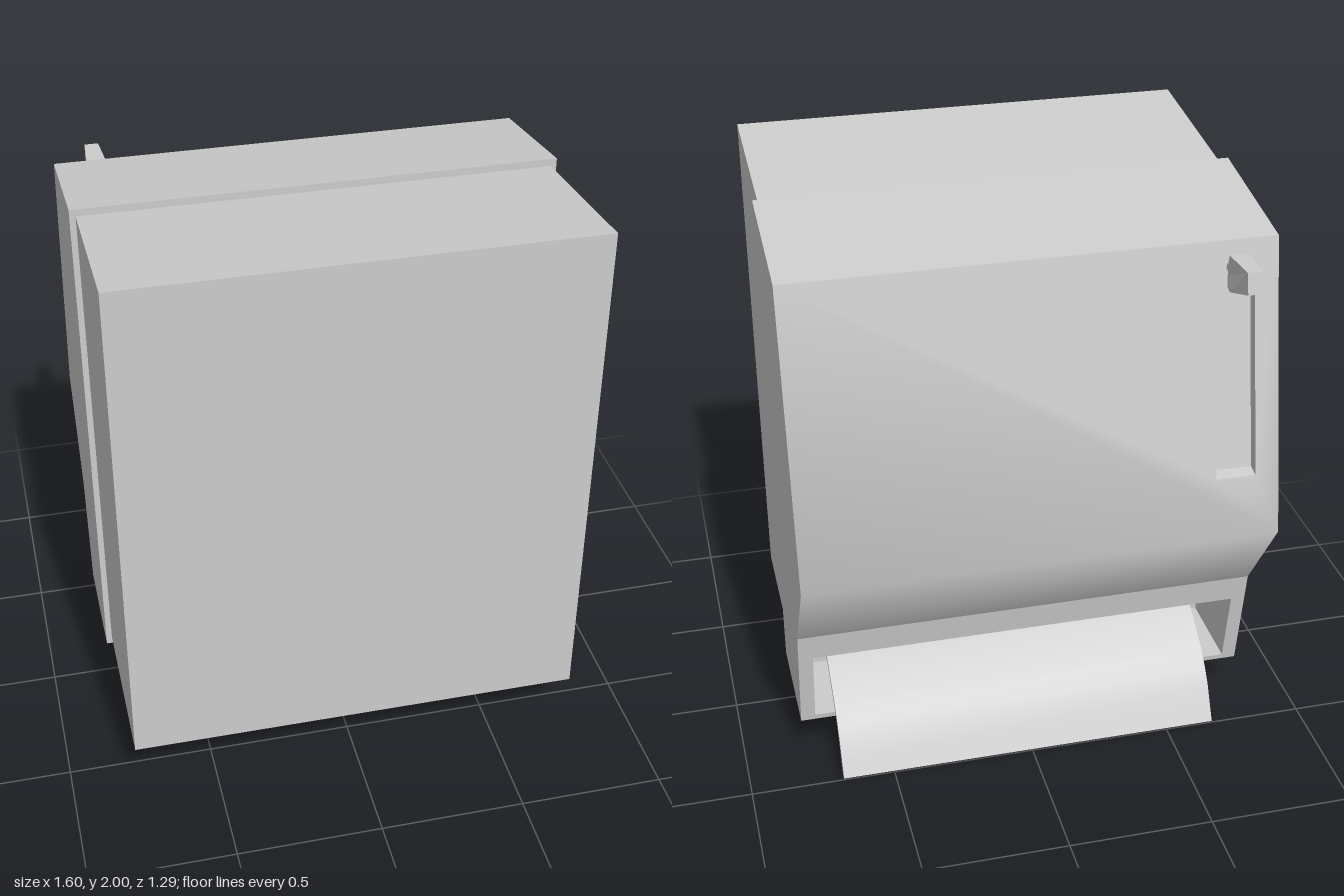
import * as THREE from 'three';
import { mergeGeometries, toCreasedNormals } from 'three/addons/utils/BufferGeometryUtils.js';

// All profile points are [z, y] pairs.
const lerp = (a, b, t) => [a[0] + (b[0] - a[0]) * t, a[1] + (b[1] - a[1]) * t];

// Flat panel between profile points a and b, with an optional hole {x0, x1, t0, t1}
function panel(a, b, x0, x1, hole) {
  const rect = (l, r, s, e) => [[l, s], [r, s], [r, e], [l, e]].map(p => new THREE.Vector2(...p));
  const shape = new THREE.Shape(rect(x0, x1, 0, 1));
  if (hole) shape.holes.push(new THREE.Path(rect(hole.x0, hole.x1, hole.t0, hole.t1)));
  const geo = new THREE.ShapeGeometry(shape);
  const pos = geo.attributes.position;
  for (let i = 0; i < pos.count; i++) {
    const [z, y] = lerp(a, b, pos.getY(i));
    pos.setXYZ(i, pos.getX(i), y, z);
  }
  geo.computeVertexNormals();
  return geo;
}

// Flat side wall at x, facing +x (side 1) or -x (side -1)
function cap(points, x, side) {
  const shape = new THREE.Shape(points.map(([z, y]) => new THREE.Vector2(-side * z, y)));
  return new THREE.ShapeGeometry(shape).rotateY(side * Math.PI / 2).translate(x, 0, 0);
}

// Solid with a side profile, running from x0 to x1
function solid(points, x0, x1) {
  const shape = new THREE.Shape(points.map(([z, y]) => new THREE.Vector2(-z, y)));
  return new THREE.ExtrudeGeometry(shape, { depth: x1 - x0, bevelEnabled: false })
    .rotateY(Math.PI / 2).translate(x0, 0, 0);
}

// Walls of a recess: profile runs outer top, inner top, inner bottom, outer bottom
function pocket(p, x0, x1) {
  return mergeGeometries([
    panel(p[0], p[1], x0, x1), panel(p[1], p[2], x0, x1), panel(p[2], p[3], x0, x1),
    cap(p, x0, 1), cap(p, x1, -1),
  ]);
}

export function createModel() {
  const group = new THREE.Group();
  const grey = new THREE.MeshStandardMaterial({ color: 0xcccccc, side: THREE.DoubleSide });
  grey.name = 'light grey';
  const add = (name, geo) => {
    const mesh = new THREE.Mesh(geo, grey);
    mesh.name = name;
    group.add(mesh);
  };

  // Wall-side housing with a sloping top
  add('rearHousing', solid([[0.645, 0.2], [0.645, 2], [0.05, 1.935], [0.05, 0.2]], -0.78, 0.78));

  // Cover, walked from its top seam round to its bottom seam
  const W = 0.8;
  const top = [0.05, 1.96], brow = [-0.435, 1.885], crest = [-0.643, 0.9];
  const crease = [-0.42, 0.57], lip = [-0.355, 0.17], base = [0.05, 0.17];
  const slot = { x0: -0.72, x1: -0.585, t0: 0.075, t1: 0.79 };
  const mouth = { x0: -0.75, x1: 0.75, t0: 0.25, t1: 0.95 };
  add('coverShell', mergeGeometries([
    panel(top, brow, -W, W), panel(crease, lip, -W, W, mouth),
    panel(lip, base, -W, W), panel(base, top, -W, W),
    ...[-1, 1].map(s => cap([top, brow, crest, crease, lip, base], s * W, s)),
  ]));
  // The two slopes shade smoothly across the crest
  add('coverSlopes', toCreasedNormals(mergeGeometries([
    panel(brow, crest, -W, W, slot), panel(crest, crease, -W, W),
  ]), 0.9));

  // Shallow lever slot
  const s0 = lerp(brow, crest, slot.t0), s1 = lerp(brow, crest, slot.t1);
  const sink = ([z, y]) => [z + 0.044, y + 0.009];
  add('leverSlot', pocket([s0, sink(s0), sink(s1), s1], slot.x0, slot.x1));

  // Paper opening
  const m0 = lerp(crease, lip, mouth.t0), m1 = lerp(crease, lip, mouth.t1);
  add('paperOpening', pocket([m0, [-0.06, m0[1]], [-0.06, m1[1]], m1], mouth.x0, mouth.x1));

  // Lever paddle, tapered towards its tip and its root
  const paddle = solid([[-0.46, 1.82], [-0.485, 1.855], [-0.622, 1.855], [-0.636, 1.785],
    [-0.515, 1.742], [-0.48, 1.745], [-0.463, 1.775]], -1, 1);
  const pos = paddle.attributes.position;
  for (let i = 0; i < pos.count; i++) {
    const z = pos.getZ(i);
    const half = z < -0.5 ? 0.037 - (-0.5 - z) * 0.11 : 0.037 - (z + 0.5) * 0.3;
    pos.setX(i, -0.653 + pos.getX(i) * half);
  }
  paddle.computeVertexNormals();
  add('leverPaddle', paddle);
  add('leverStem', new THREE.BoxGeometry(0.025, 0.05, 0.06).translate(-0.653, 1.8, -0.445));

  // Paper sheet curling out of the opening
  const sheet = [[-0.1, 0.37], [-0.22, 0.315], [-0.36, 0.222], [-0.405, 0.177],
    [-0.445, 0.125], [-0.475, 0.07], [-0.508, 0.012]];
  const under = sheet.map(([z, y]) => [z + 0.018, y - 0.012]).reverse();
  add('paperSheet', toCreasedNormals(solid([...sheet, ...under], -0.67, 0.68), 0.7));

  return group;
}
